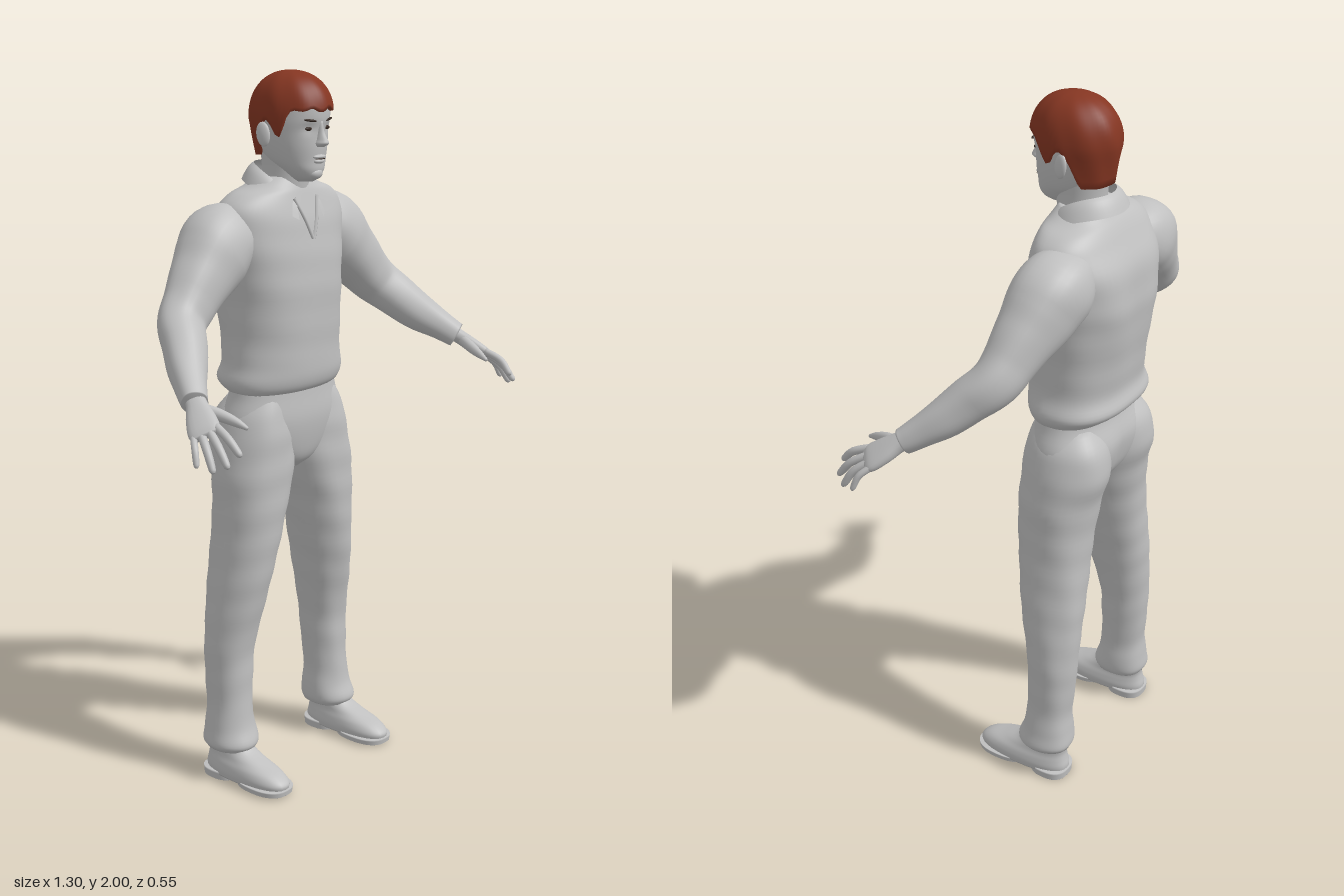
import * as THREE from 'three';

const V = (x, y, z) => new THREE.Vector3(x, y, z);
const grey = new THREE.MeshStandardMaterial({ color: 0xc0c0c0, side: THREE.DoubleSide });
const hairBrown = new THREE.MeshStandardMaterial({ color: 0x853622, side: THREE.DoubleSide });
const eyeDark = new THREE.MeshStandardMaterial({ color: 0x33261f });
grey.name = 'grey'; hairBrown.name = 'hairBrown'; eyeDark.name = 'eyeDark';

// Grid surface: f(row, angle 0..1) gives a point; rows run upward on closed shapes
function surface(f, rows, cols, closed = true) {
  const pos = [], idx = [], w = closed ? cols : cols + 1;
  for (let i = 0; i <= rows; i++) for (let j = 0; j < w; j++) pos.push(...f(i, j / cols).toArray());
  for (let i = 0; i < rows; i++) for (let j = 0; j < cols; j++) {
    const k = (j + 1) % w, a = i * w + j, b = i * w + k, c = a + w, d = b + w;
    idx.push(a, b, d, a, d, c);
  }
  const g = new THREE.BufferGeometry();
  g.setAttribute('position', new THREE.Float32BufferAttribute(pos, 3));
  g.setIndex(idx);
  g.computeVertexNormals();
  return g;
}

// Smooth closed loft through sections [x, y, z, rx, rz]; level rings unless ref is given
function loft(sections, { ref = null, n = 2, seg = 32, fine = 5, fold = 0, bump = null } = {}) {
  const path = new THREE.CatmullRomCurve3(sections.map(s => V(s[0], s[1], s[2])), false, 'catmullrom', 0.5);
  const size = new THREE.CatmullRomCurve3(sections.map(s => V(s[3], s[4], 0)), false, 'catmullrom', 0.5);
  const rows = (sections.length - 1) * fine + 2;
  const pw = c => Math.sign(c) * Math.abs(c) ** (2 / n);
  return surface((i, a) => {
    const t = Math.min(Math.max((i - 1) / (rows - 2), 0), 1), th = a * Math.PI * 2;
    const p = path.getPoint(t), r = size.getPoint(t);
    let u = V(1, 0, 0), v = V(0, 0, 1);
    if (ref) {
      const tan = path.getTangent(t);
      v = ref.clone().addScaledVector(tan, -ref.dot(tan)).normalize();
      u = tan.clone().cross(v);
    }
    let k = i === 0 || i === rows ? 0 : 1;
    k *= 1 + fold * Math.sin(3 * th + 38 * p.y) * Math.sin(2 * th - 25 * p.y + 1);
    if (bump) k *= bump(th, p.y);
    return p.addScaledVector(u, pw(Math.sin(th)) * r.x * k).addScaledVector(v, pw(Math.cos(th)) * r.y * k);
  }, rows, seg);
}

const ball = (x, y, z, rx, ry, rz) => new THREE.SphereGeometry(1, 20, 14).scale(rx, ry, rz).translate(x, y, z);

function mirrored(g) {
  const m = g.clone().scale(-1, 1, 1), ix = m.index.array;
  for (let i = 0; i < ix.length; i += 3) [ix[i], ix[i + 1]] = [ix[i + 1], ix[i]];
  return m;
}

export function createModel() {
  const model = new THREE.Group();
  const add = (name, geo, mat = grey) => {
    const m = new THREE.Mesh(geo, mat);
    m.name = name;
    model.add(m);
  };
  const pair = (name, geo, mat) => {
    add('left' + name, geo, mat);
    add('right' + name, mirrored(geo), mat);
  };
  const gauss = (x, c, w) => Math.exp(-(((x - c) / w) ** 2));

  // Shirt body, with a hollow along the spine and a bloused hem
  add('shirt', loft([
    [0, 1.125, -0.11, 0.165, 0.09], [0, 1.14, -0.11, 0.187, 0.115], [0, 1.17, -0.118, 0.2, 0.136],
    [0, 1.22, -0.112, 0.187, 0.132], [0, 1.3, -0.115, 0.185, 0.138], [0, 1.42, -0.122, 0.195, 0.147],
    [0, 1.5, -0.125, 0.208, 0.143], [0, 1.58, -0.125, 0.22, 0.13], [0, 1.64, -0.117, 0.212, 0.106],
    [0, 1.675, -0.112, 0.175, 0.09], [0, 1.695, -0.108, 0.12, 0.078], [0, 1.72, -0.105, 0.075, 0.062],
  ], {
    n: 2.3, seg: 56, fold: 0.012,
    bump: (th, y) => 1 - 0.07 * gauss(th, Math.PI, 0.22) * gauss(y, 1.42, 0.17)
      + 0.03 * (gauss(th, 2.65, 0.3) + gauss(th, 3.63, 0.3)) * gauss(y, 1.5, 0.1),
  }));

  // Collar and open neckline
  add('collar', surface((i, a) => {
    const th = 0.45 + a * (Math.PI * 2 - 0.9), v = i / 6, f = ((1 + Math.cos(th)) / 2) ** 2;
    const r = 0.08 + 0.034 * v;
    const y = 1.755 - 0.085 * f - v * (0.045 + 0.03 * f * f) + 0.008 * Math.sin(v * Math.PI);
    return V(Math.sin(th) * r, y, -0.1 + Math.cos(th) * r);
  }, 6, 40, false));
  pair('NecklineEdge', new THREE.TubeGeometry(new THREE.CatmullRomCurve3(
    [V(0.046, 1.665, -0.02), V(0.024, 1.61, -0.001), V(0.002, 1.555, 0.009)]), 10, 0.006, 6));

  // Sleeves
  const zRef = V(0, 0, 1);
  pair('Sleeve', loft([
    [0.13, 1.585, -0.135, 0.07, 0.08], [0.2, 1.56, -0.138, 0.104, 0.1], [0.255, 1.515, -0.13, 0.106, 0.096],
    [0.305, 1.468, -0.118, 0.092, 0.082], [0.36, 1.415, -0.108, 0.078, 0.068], [0.408, 1.37, -0.09, 0.07, 0.062],
    [0.445, 1.325, -0.045, 0.064, 0.058], [0.485, 1.28, 0.005, 0.056, 0.052], [0.52, 1.243, 0.052, 0.044, 0.042],
    [0.54, 1.222, 0.08, 0.039, 0.037], [0.55, 1.212, 0.095, 0.037, 0.034],
  ], { ref: zRef, fold: 0.035 }));

  // Hands: palm, four fingers and thumb
  const across = V(-0.68, 0.36, 0.64);
  pair('Palm', loft([
    [0.535, 1.228, 0.075, 0.02, 0.027], [0.552, 1.208, 0.105, 0.02, 0.028], [0.572, 1.184, 0.137, 0.019, 0.038],
    [0.59, 1.162, 0.167, 0.016, 0.042], [0.598, 1.152, 0.182, 0.009, 0.036],
  ], { ref: across, seg: 20, n: 2.4 }));
  const knuckle = V(0.589, 1.163, 0.166);
  [['IndexFinger', 0.03, [0.575, 1.113, 0.276]], ['MiddleFinger', 0.01, [0.609, 1.088, 0.266]],
    ['RingFinger', -0.01, [0.63, 1.075, 0.236]], ['LittleFinger', -0.029, [0.645, 1.084, 0.194]],
  ].forEach(([name, off, tip]) => {
    const b = knuckle.clone().addScaledVector(across, off), e = V(...tip);
    const m = b.clone().lerp(e, 0.5).add(V(0.006, 0.008, 0.006)), q = m.clone().lerp(e, 0.8);
    const k = off < -0.02 ? 0.009 : 0.0108;
    pair(name, loft([[...b, k, k], [...m, k, k], [...q, k * 0.85, k * 0.85], [...e, k * 0.4, k * 0.4]],
      { ref: across, seg: 12 }));
  });
  pair('Thumb', loft([
    [0.55, 1.203, 0.115, 0.015, 0.016], [0.53, 1.19, 0.16, 0.015, 0.016],
    [0.516, 1.176, 0.203, 0.011, 0.012], [0.508, 1.163, 0.236, 0.005, 0.005],
  ], { ref: V(0, 1, 0), seg: 12 }));

  // Trousers: hips and two legs
  add('trouserHips', loft([
    [0, 0.9, -0.105, 0.03, 0.05], [0, 0.93, -0.108, 0.1, 0.085], [0, 0.98, -0.115, 0.18, 0.108],
    [0, 1.05, -0.116, 0.207, 0.118], [0, 1.12, -0.108, 0.186, 0.104], [0, 1.17, -0.108, 0.176, 0.1],
  ], { n: 2.2, seg: 48, bump: (th, y) => 1 - 0.08 * gauss(th, Math.PI, 0.16) * gauss(y, 1.0, 0.08) }));
  pair('TrouserLeg', loft([
    [0.214, 0.095, -0.12, 0.064, 0.074], [0.216, 0.115, -0.12, 0.073, 0.082], [0.213, 0.16, -0.124, 0.068, 0.072],
    [0.211, 0.22, -0.127, 0.061, 0.066], [0.207, 0.31, -0.132, 0.064, 0.069], [0.203, 0.4, -0.133, 0.068, 0.073],
    [0.189, 0.51, -0.124, 0.075, 0.086], [0.175, 0.6, -0.116, 0.08, 0.096], [0.158, 0.7, -0.109, 0.087, 0.102],
    [0.143, 0.8, -0.106, 0.096, 0.107], [0.126, 0.9, -0.11, 0.11, 0.113], [0.115, 0.99, -0.122, 0.108, 0.122],
    [0.112, 1.06, -0.12, 0.095, 0.112], [0.1, 1.12, -0.11, 0.07, 0.085],
  ], { n: 2.2, seg: 36, fold: 0.022 }));

  // Shoes with a sole and a heel block
  pair('ShoeUpper', loft([
    [0.222, 0.016, -0.048, 0.054, 0.146], [0.222, 0.035, -0.048, 0.057, 0.147], [0.222, 0.056, -0.06, 0.053, 0.13],
    [0.221, 0.076, -0.087, 0.046, 0.1], [0.219, 0.1, -0.115, 0.044, 0.074], [0.217, 0.14, -0.125, 0.046, 0.06],
  ], { n: 2.4 }));
  pair('ShoeSole', loft([[0.222, 0.006, 0.018, 0.058, 0.085], [0.222, 0.022, 0.018, 0.06, 0.087]], { n: 2.5 }));
  pair('ShoeHeel', loft([[0.222, 0, -0.14, 0.052, 0.057], [0.222, 0.025, -0.14, 0.054, 0.059]], { n: 2.6 }));

  // Neck and head
  add('neck', loft([
    [0, 1.63, -0.1, 0.075, 0.07], [0, 1.68, -0.095, 0.066, 0.068], [0, 1.73, -0.09, 0.062, 0.068],
    [0, 1.8, -0.09, 0.066, 0.074],
  ]));
  add('head', loft([
    [0, 1.708, -0.022, 0.022, 0.026], [0, 1.72, -0.022, 0.038, 0.043], [0, 1.74, -0.032, 0.055, 0.061],
    [0, 1.765, -0.052, 0.07, 0.082], [0, 1.8, -0.064, 0.081, 0.097], [0, 1.84, -0.07, 0.088, 0.104],
    [0, 1.88, -0.07, 0.09, 0.111], [0, 1.93, -0.07, 0.086, 0.108], [0, 1.97, -0.07, 0.06, 0.08],
    [0, 1.985, -0.07, 0.03, 0.04],
  ], {
    n: 2.15, seg: 48,
    bump: (th, y) => 1 - 0.05 * gauss(y, 1.852, 0.014) * (gauss(th, 0.4, 0.2) + gauss(th, Math.PI * 2 - 0.4, 0.2)),
  }));
  add('nose', loft([
    [0, 1.802, 0.03, 0.011, 0.014], [0, 1.811, 0.034, 0.017, 0.026], [0, 1.822, 0.033, 0.013, 0.024],
    [0, 1.842, 0.03, 0.009, 0.016], [0, 1.87, 0.03, 0.008, 0.01],
  ], { seg: 16 }));
  add('upperLip', ball(0, 1.776, 0.03, 0.024, 0.006, 0.011));
  add('lowerLip', ball(0, 1.764, 0.028, 0.019, 0.007, 0.011));
  add('mouthLine', ball(0, 1.77, 0.0345, 0.021, 0.0014, 0.0045), eyeDark);
  add('chin', ball(0, 1.731, 0.014, 0.025, 0.017, 0.018));
  pair('Eye', ball(0.035, 1.851, 0.0235, 0.014, 0.0055, 0.0048), eyeDark);
  pair('Eyebrow', ball(0, 0, 0, 0.02, 0.0035, 0.0048).rotateZ(0.12).rotateY(0.3).translate(0.037, 1.873, 0.031), eyeDark);
  pair('Ear', ball(0, 0, 0, 0.009, 0.033, 0.02).rotateY(-0.3).rotateX(-0.15).translate(0.096, 1.835, -0.085));

  // Hair: a cap whose lower edge dips at the sideburns and the nape
  const hairRows = 22;
  add('hair', surface((i, a) => {
    const th = a * Math.PI * 2, s = Math.min(th, Math.PI * 2 - th);
    const edge = 1.9 - 0.125 * THREE.MathUtils.smoothstep(s, 1.6, 2.2)
      - 0.07 * gauss(s, 1.3, 0.2) - 0.02 * gauss(s, 1.65, 0.2) + 0.006 * Math.sin(11 * th) * gauss(s, 0, 0.9);
    const t = 1 - Math.max(i - 1, 0) / (hairRows - 1), y = 2 - (2 - edge) * t * t;
    let k = y > 1.875 ? Math.max(0, 1 - ((y - 1.875) / 0.125) ** 2.3) ** 0.46 : 1 - 1.5 * (1.875 - y);
    k *= 1 + 0.012 * Math.sin(9 * th + 30 * y);
    if (i === 0) k *= 0.86;
    return V(Math.sin(th) * 0.1 * k, y, -0.07 + Math.cos(th) * 0.126 * k);
  }, hairRows, 64), hairBrown);

  return model;
}
